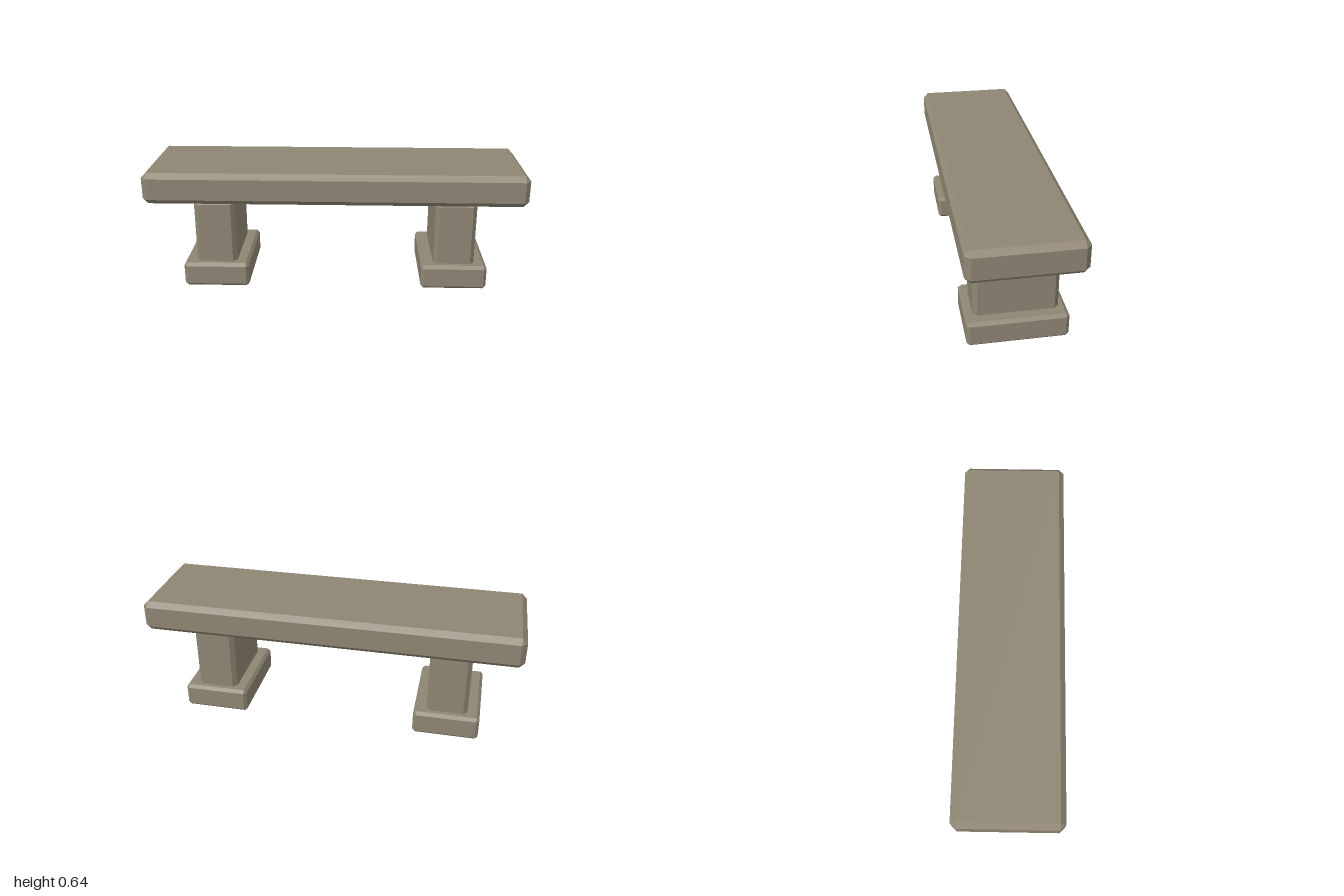
import * as THREE from 'three';
import { ConvexGeometry } from 'three/addons/geometries/ConvexGeometry.js';

const stone = new THREE.MeshStandardMaterial({ color: 0x8f8674 });
stone.name = 'stone';

// Box with every edge and corner cut by a flat 45 degree chamfer.
function chamferedBlock(name, width, depth, bottom, top, chamfer) {
  const half = [width / 2, (top - bottom) / 2, depth / 2];
  const points = [];
  for (const sx of [-1, 1]) for (const sy of [-1, 1]) for (const sz of [-1, 1]) {
    const sign = [sx, sy, sz];
    for (let face = 0; face < 3; face++) {
      const p = half.map((h, axis) => sign[axis] * (axis === face ? h : h - chamfer));
      points.push(new THREE.Vector3(...p));
    }
  }
  const mesh = new THREE.Mesh(new ConvexGeometry(points), stone);
  mesh.name = name;
  mesh.position.y = (top + bottom) / 2;
  return mesh;
}

export function createModel() {
  const bench = new THREE.Group();
  bench.name = 'stoneBench';

  // Seat slab
  bench.add(chamferedBlock('seat', 2, 0.556, 0.479, 0.645, 0.027));

  // Two matching supports, each a pillar sunk into a wider foot
  for (const [name, side] of [['leftSupport', 1], ['rightSupport', -1]]) {
    const support = new THREE.Group();
    support.name = name;
    support.position.x = side * 0.64;
    support.add(
      chamferedBlock('pillar', 0.218, 0.422, 0.06, 0.479, 0.022),
      chamferedBlock('foot', 0.35, 0.502, 0, 0.133, 0.016),
    );
    bench.add(support);
  }
  return bench;
}
